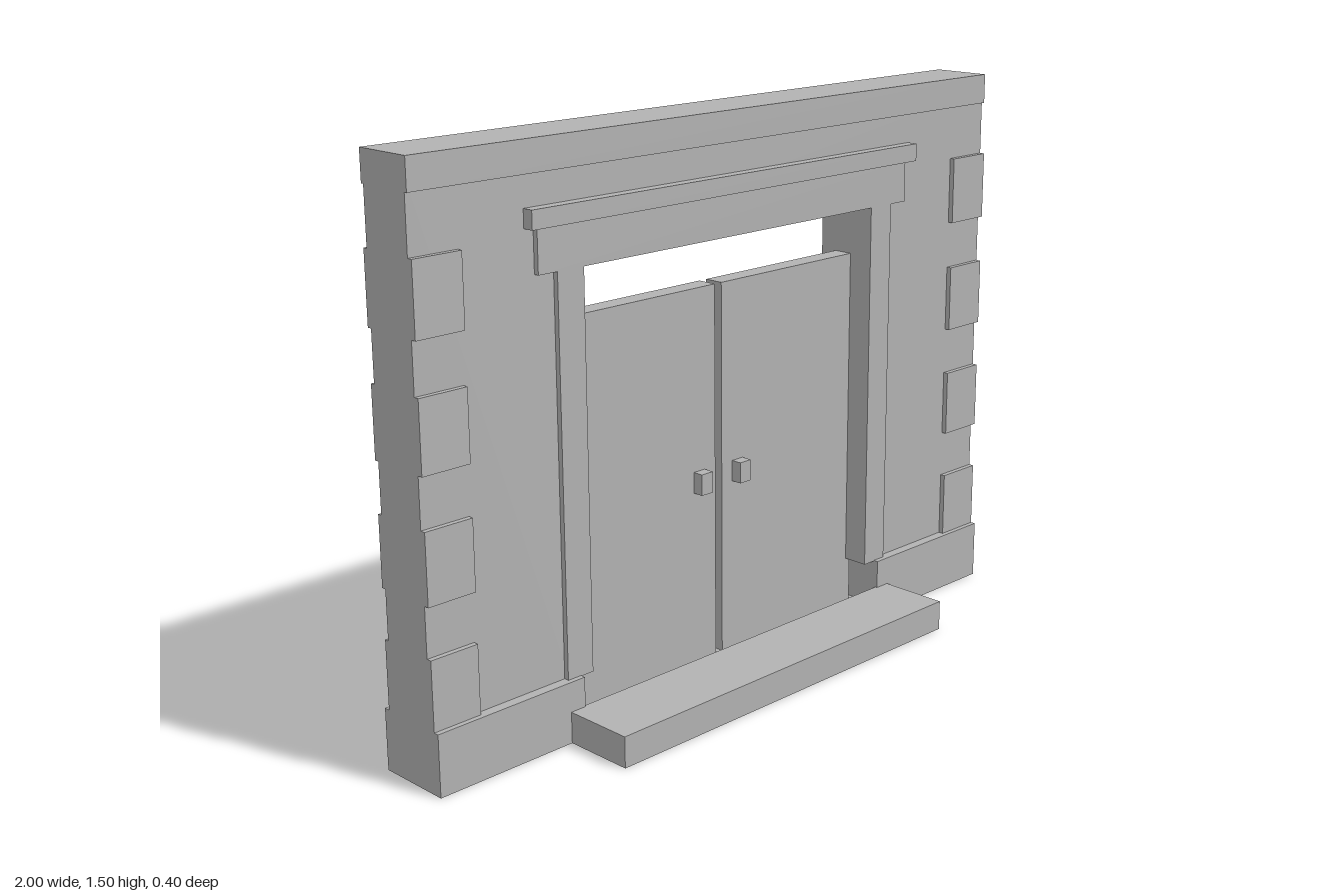
import * as THREE from 'three';

export function createModel() {
  const model = new THREE.Group();
  model.name = 'doorwayWall';
  const stone = new THREE.MeshStandardMaterial({ color: 0xb2b2b2, side: THREE.DoubleSide });
  stone.name = 'grey';

  // box given by its limits on each axis
  function block(name, x0, x1, y0, y1, z0, z1) {
    const mesh = new THREE.Mesh(new THREE.BoxGeometry(x1 - x0, y1 - y0, z1 - z0), stone);
    mesh.position.set((x0 + x1) / 2, (y0 + y1) / 2, (z0 + z1) / 2);
    mesh.name = name;
    model.add(mesh);
    return mesh;
  }

  // wall with doorway cut out of its lower edge
  const outline = [[-1, 0.1], [-1, 1.46], [1, 1.46], [1, 0.1], [0.56, 0.1], [0.56, 1.24], [-0.56, 1.24], [-0.56, 0.1]];
  const shape = new THREE.Shape(outline.map(([x, y]) => new THREE.Vector2(x, y)));
  const wall = new THREE.Mesh(new THREE.ExtrudeGeometry(shape, { depth: 0.15, bevelEnabled: false }), stone);
  wall.position.z = -0.172;
  wall.name = 'wall';
  model.add(wall);

  // top band
  block('cornice', -1, 1, 1.42, 1.5, -0.18, -0.014);

  // door surround
  block('lintel', -0.65, 0.65, 1.185, 1.295, -0.184, -0.008);
  block('lintelCap', -0.677, 0.677, 1.295, 1.342, -0.191, 0.008);

  for (const s of [-1, 1]) {
    const side = s > 0 ? 'left' : 'right';
    const mirrored = (name, a, b, ...rest) =>
      block(side + name, Math.min(s * a, s * b), Math.max(s * a, s * b), ...rest);
    mirrored('Jamb', 0.512, 0.593, 0.16, 1.19, -0.184, -0.008);
    mirrored('Plinth', 0.552, 1, 0, 0.162, -0.2, 0.006);
    // corner stones on both faces
    for (let i = 0; i < 4; i++) {
      const y = 0.16 + i * 0.3115;
      mirrored('CornerStone', 0.864, 1, y, y + 0.182, -0.184, -0.008);
    }
    mirrored('Door', 0.012, 0.528, 0.03, 1.05, -0.135, -0.08);
    mirrored('Handle', 0.051, 0.09, 0.505, 0.562, -0.08, -0.05);
  }

  // threshold under the doors
  block('threshold', -0.56, 0.56, 0, 0.03, -0.178, 0);

  // front step, open underneath
  const step = block('step', -0.598, 0.596, 0, 0.083, 0, 0.2);
  const index = Array.from(step.geometry.index.array);
  index.splice(18, 6);
  step.geometry.setIndex(index);
  step.geometry.clearGroups();

  return model;
}
